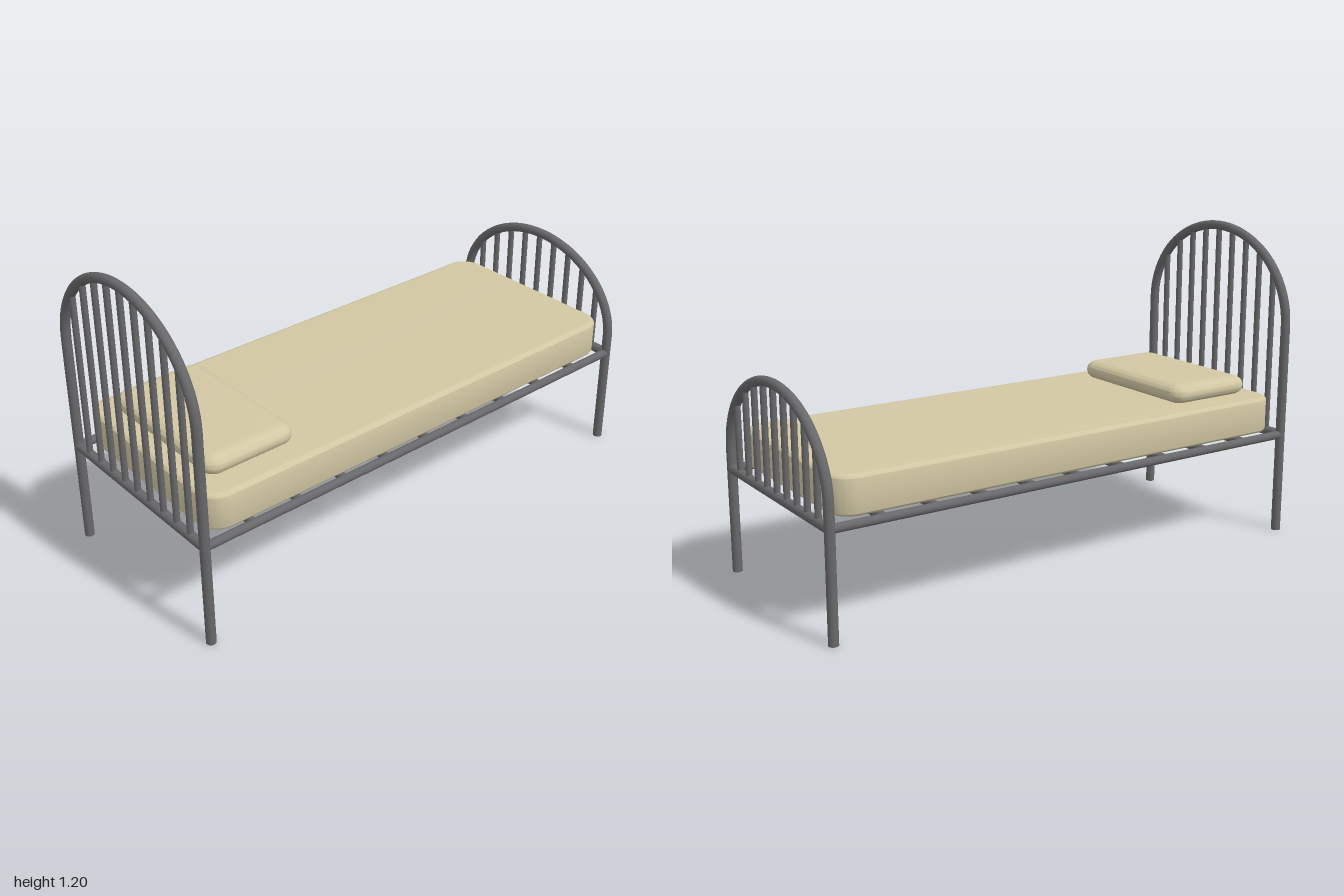
import * as THREE from 'three';
import { toCreasedNormals } from 'three/addons/utils/BufferGeometryUtils.js';

const metal = new THREE.MeshStandardMaterial({ color: 0x68686a });
const fabric = new THREE.MeshStandardMaterial({ color: 0xd2c7a3 });
const X = 0.392, Z = 0.982, R = 0.018, RAIL_Y = 0.394;

function add(parent, name, geometry, material) {
  const mesh = new THREE.Mesh(geometry, material);
  mesh.name = name;
  parent.add(mesh);
  return mesh;
}

// Straight round bar between two points
function bar(parent, name, a, b, radius) {
  const from = new THREE.Vector3(...a), to = new THREE.Vector3(...b);
  const dir = to.clone().sub(from);
  const mesh = add(parent, name, new THREE.CylinderGeometry(radius, radius, dir.length(), 20), metal);
  mesh.position.copy(from).add(to).multiplyScalar(0.5);
  mesh.quaternion.setFromUnitVectors(new THREE.Vector3(0, 1, 0), dir.normalize());
}

// Legs, half-ellipse arch, cross rail and upright spindles of one bed end
function bedEnd(name, z, springY, topY) {
  const end = new THREE.Group();
  end.name = name;
  end.position.z = z;
  const rise = topY - springY;
  for (const s of [-1, 1]) bar(end, 'leg', [s * X, 0, 0], [s * X, springY, 0], R);
  const points = [];
  for (let i = 0; i <= 24; i++) {
    const t = (i / 24) * Math.PI;
    points.push(new THREE.Vector3(X * Math.cos(t), springY + rise * Math.sin(t), 0));
  }
  add(end, 'arch', new THREE.TubeGeometry(new THREE.CatmullRomCurve3(points), 72, R, 20), metal);
  bar(end, 'crossRail', [-X, RAIL_Y, 0], [X, RAIL_Y, 0], R);
  for (let i = -4; i <= 4; i++) {
    const x = i * 0.0784;
    const y = springY + rise * Math.sqrt(1 - (x / X) ** 2);
    bar(end, 'spindle', [x, RAIL_Y, 0], [x, y, 0], 0.0115);
  }
  return end;
}

// Rounded slab lying flat, with rounded plan corners and a soft rim
function cushion(w, d, h, corner, rimWidth, rimHeight) {
  const a = w / 2 - rimWidth, b = d / 2 - rimWidth, r = corner - rimWidth;
  const shape = new THREE.Shape();
  shape.absarc(a - r, b - r, r, 0, Math.PI / 2);
  shape.absarc(-a + r, b - r, r, Math.PI / 2, Math.PI);
  shape.absarc(-a + r, -b + r, r, Math.PI, Math.PI * 1.5);
  shape.absarc(a - r, -b + r, r, Math.PI * 1.5, Math.PI * 2);
  shape.closePath();
  const geometry = new THREE.ExtrudeGeometry(shape, {
    depth: h - 2 * rimHeight, bevelThickness: rimHeight, bevelSize: rimWidth,
    bevelSegments: 8, curveSegments: 10,
  });
  geometry.translate(0, 0, rimHeight);
  geometry.rotateX(-Math.PI / 2);
  return toCreasedNormals(geometry, 0.7);
}

export function createModel() {
  const bed = new THREE.Group();
  bed.name = 'bed';

  // Tall head end and low foot end
  bed.add(bedEnd('headboard', Z, 0.83, 1.179));
  bed.add(bedEnd('footboard', -Z, 0.47, 0.787));

  // Side rails and the bars carrying the mattress
  for (const s of [-1, 1]) bar(bed, 'sideRail', [s * X, RAIL_Y, -Z], [s * X, RAIL_Y, Z], 0.016);
  for (let i = -4; i <= 4; i++) {
    bar(bed, 'slat', [-X, RAIL_Y, i * 0.196], [X, RAIL_Y, i * 0.196], 0.016);
  }

  // Bedding
  add(bed, 'mattress', cushion(0.776, 1.9, 0.14, 0.085, 0.02, 0.015), fabric).position.y = 0.412;
  add(bed, 'pillow', cushion(0.6, 0.365, 0.075, 0.055, 0.05, 0.034), fabric).position.set(0, 0.551, 0.705);

  return bed;
}
